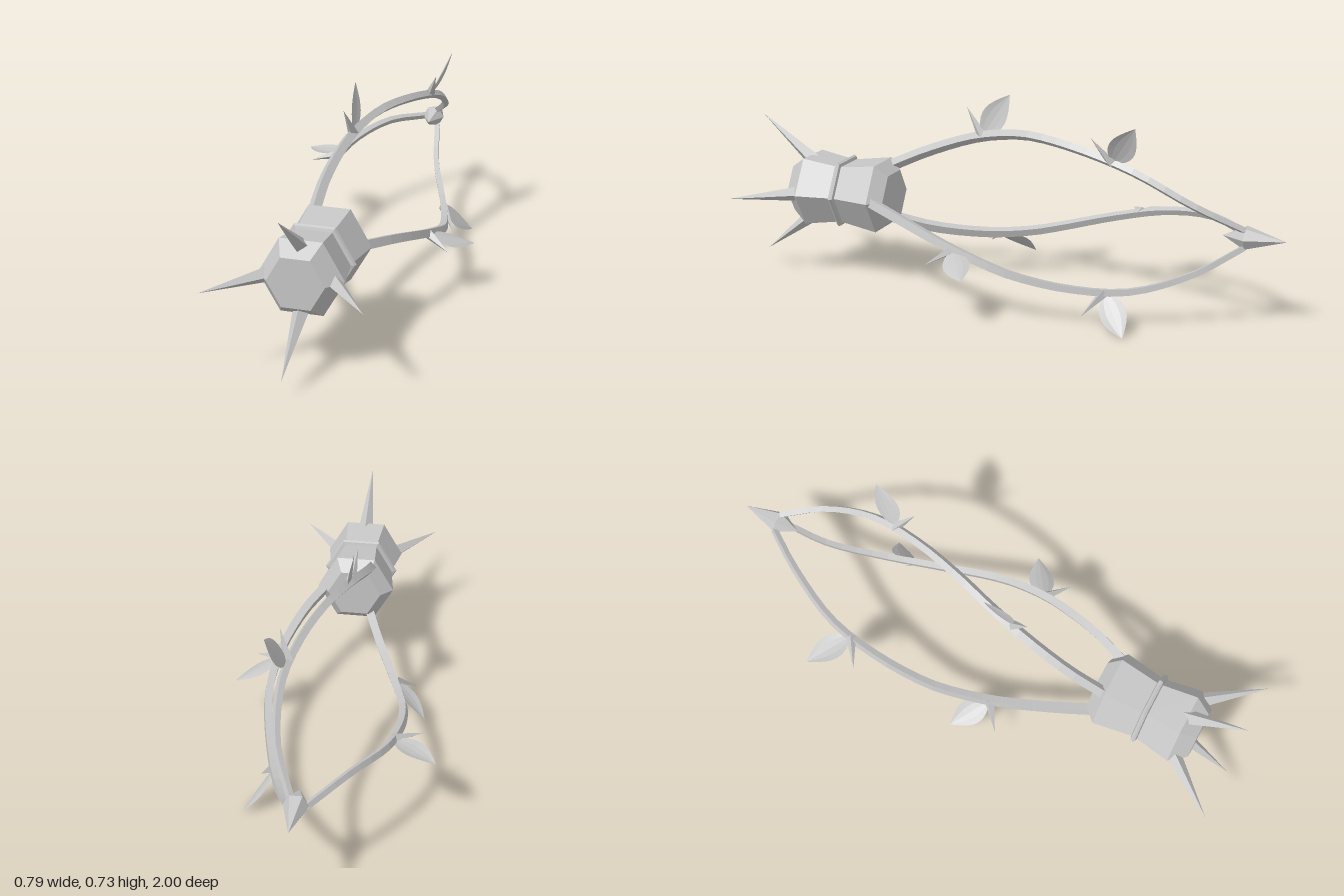
import * as THREE from 'three';

const steel = new THREE.MeshStandardMaterial({ color: 0xc6c6c6, flatShading: true, side: THREE.DoubleSide });
steel.name = 'grey';

function part(name, geometry, parent) {
  const mesh = new THREE.Mesh(geometry, steel);
  mesh.name = name;
  parent.add(mesh);
  return mesh;
}

// Six-sided turned solid along z; profile rows are [radius, z], back to front
function hexSolid(name, profile, parent) {
  const points = profile.map(([r, z]) => new THREE.Vector2(r, z));
  const geometry = new THREE.LatheGeometry(points, 6, Math.PI / 2);
  geometry.rotateX(Math.PI / 2);
  return part(name, geometry, parent);
}

// Four-sided spike from a base point to a tip
function spike(name, base, tip, radius, parent) {
  const dir = tip.clone().sub(base);
  const geometry = new THREE.ConeGeometry(radius, dir.length(), 4);
  geometry.translate(0, dir.length() / 2, 0);
  const mesh = part(name, geometry, parent);
  mesh.position.copy(base);
  mesh.quaternion.setFromUnitVectors(new THREE.Vector3(0, 1, 0), dir.normalize());
  return mesh;
}

// Tapering square vine along a curve
function vineGeometry(curve) {
  const rings = 24, sides = 4;
  const geometry = new THREE.TubeGeometry(curve, rings, 1, sides);
  const pos = geometry.attributes.position;
  const v = new THREE.Vector3();
  for (let i = 0; i < pos.count; i++) {
    const t = Math.floor(i / (sides + 1)) / rings;
    const centre = curve.getPointAt(t);
    v.fromBufferAttribute(pos, i).sub(centre).multiplyScalar(0.022 - 0.009 * t).add(centre);
    pos.setXYZ(i, v.x, v.y, v.z);
  }
  geometry.computeVertexNormals();
  return geometry;
}

// Pointed, slightly cupped leaf standing in the local yz plane
function leafGeometry() {
  const geometry = new THREE.PlaneGeometry(2, 1, 4, 10);
  const pos = geometry.attributes.position;
  for (let i = 0; i < pos.count; i++) {
    const s = pos.getX(i);
    const t = pos.getY(i) + 0.5;
    const width = 0.047 * Math.sin(Math.PI * Math.pow(t, 0.85));
    const along = 0.185 * t;
    pos.setXYZ(i, 0.008 * s * s * Math.sin(Math.PI * t),
      along * 0.84 + width * s * 0.53,
      -along * 0.53 + width * s * 0.84);
  }
  geometry.computeVertexNormals();
  return geometry;
}

export function createModel() {
  const root = new THREE.Group();
  root.name = 'thornedCage';
  const body = new THREE.Group();
  body.name = 'body';
  body.position.set(0.013, 0.325, 0);
  root.add(body);

  // Waisted hexagonal hub with chamfered ends
  hexSolid('hub', [
    [0, 0.455], [0.1, 0.455], [0.144, 0.5], [0.12, 0.65],
    [0.144, 0.79], [0.097, 0.848], [0, 0.848],
  ], body);
  hexSolid('waistBand', [
    [0.11, 0.638], [0.134, 0.644], [0.139, 0.652], [0.134, 0.66], [0.11, 0.666],
  ], body);

  // Pointed cap at the rear
  hexSolid('rearPoint', [[0, -1], [0.042, -0.86], [0, -0.78]], body);

  // Four spikes splayed around the front of the hub
  for (let i = 0; i < 4; i++) {
    const arm = new THREE.Group();
    arm.name = 'frontSpike';
    arm.rotation.z = i * Math.PI / 2;
    body.add(arm);
    spike('spike', new THREE.Vector3(0, 0.1, 0.785), new THREE.Vector3(0, 0.264, 0.995), 0.029, arm);
  }

  // Three twisting vines, each with two leaf and thorn pairs
  const curve = new THREE.CatmullRomCurve3([
    [-0.057, 0.1, 0.49], [-0.063, 0.165, 0.35], [-0.043, 0.24, 0.15], [-0.01, 0.273, 0],
    [0.02, 0.282, -0.1], [0.075, 0.263, -0.3], [0.107, 0.213, -0.5], [0.088, 0.115, -0.7],
    [0.018, 0.03, -0.86],
  ].map((p) => new THREE.Vector3(...p)));
  const vine = vineGeometry(curve);
  const leaf = leafGeometry();
  for (let i = 0; i < 3; i++) {
    const branch = new THREE.Group();
    branch.name = 'branch';
    branch.rotation.z = i * Math.PI * 2 / 3;
    body.add(branch);
    part('vine', vine, branch);
    for (const [x, y, z] of [[-0.036, 0.25, 0.12], [0.098, 0.236, -0.415]]) {
      const node = new THREE.Group();
      node.name = 'leafNode';
      node.position.set(x, y, z);
      node.rotation.z = -Math.atan2(x, y);
      branch.add(node);
      part('leaf', leaf, node);
      spike('thorn', new THREE.Vector3(0, 0, 0), new THREE.Vector3(0, 0.1, 0.065), 0.019, node);
    }
  }
  return root;
}
